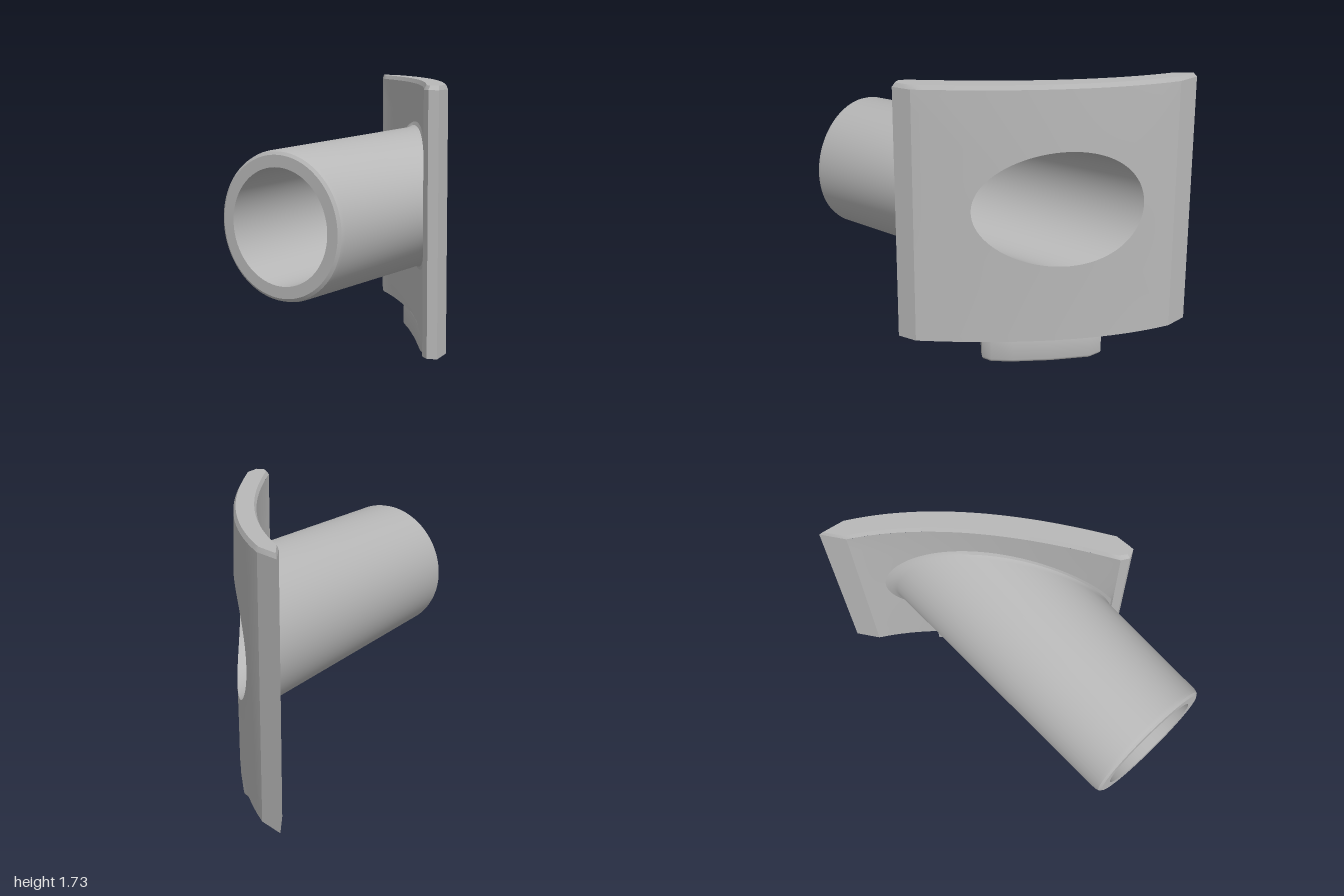
import * as THREE from 'three';
import { toCreasedNormals } from 'three/addons/utils/BufferGeometryUtils.js';

const N = 96;                       // divisions around the tube, divisible by 8
const Y0 = 0.145, Y1 = 1.70, YTOP = 1.725;
const BACK = [-0.556, 0.67], FRONT = [-0.6, 0.6];

// curved plate surfaces: depth z as a function of x
const frontZ = x => -0.51 + 0.8375 * x + 0.354 * x * x;
const backZ = x => {
  const u = (x - 0.057) / 0.613;
  return -0.635 + 0.4895 * u + 0.1295 * u * u;
};

// plate narrows slightly towards the top
const taper = y => 1 - 0.02 * (y - Y0) / (YTOP - Y0);

// rows of points joined into a surface
function loft(rows) {
  const pos = [], idx = [], w = rows[0].length;
  rows.forEach(r => r.forEach(p => pos.push(p.x, p.y, p.z)));
  for (let i = 0; i < rows.length - 1; i++) {
    for (let j = 0; j < w - 1; j++) {
      const a = i * w + j, b = a + 1, d = a + w, c = d + 1;
      idx.push(a, b, d, b, c, d);
    }
  }
  const g = new THREE.BufferGeometry();
  g.setAttribute('position', new THREE.Float32BufferAttribute(pos, 3));
  g.setIndex(idx);
  return toCreasedNormals(g, 0.6);
}

const ring = fn => Array.from({ length: N + 1 }, (_, j) => fn((j % N) / N * Math.PI * 2));

// point on the slanted tube, s measured backwards from the open end
const AX = new THREE.Vector3(0.137, 0, 0.9906);
function tubePoint(phi, s, r) {
  const c = Math.cos(phi) * r;
  return new THREE.Vector3(0.265 - AX.x * s + AX.z * c, 0.985 + Math.sin(phi) * r, 0.935 - AX.z * s - AX.x * c);
}
const outerR = s => 0.415 + 0.018 * s;
const boreR = s => 0.325 + 0.018 * s;

// distance at which a tube line reaches a plate surface
function hit(phi, radius, surface) {
  let lo = 0, hi = 2.6;
  for (let k = 0; k < 40; k++) {
    const m = (lo + hi) / 2, p = tubePoint(phi, m, radius(m));
    if (p.z > surface(p.x)) lo = m; else hi = m;
  }
  return lo;
}

// plate face around a hole, rows running from the hole to the border
function faceRows(hole, surface, [x0, x1]) {
  const rows = [], M = 14;
  for (let k = 0; k <= M; k++) {
    const t = k / M;
    rows.push(hole.map((h, j) => {
      const phi = j / N * Math.PI * 2, c = Math.cos(phi), s = Math.sin(phi);
      const q = 1 / Math.max(Math.abs(c), Math.abs(s));
      const ex = (x0 + x1) / 2 + c * q * (x1 - x0) / 2;
      const ey = (Y0 + Y1) / 2 + s * q * (Y1 - Y0) / 2;
      const x = h.x + (ex - h.x) * t, y = h.y + (ey - h.y) * t;
      const f = 1 + (taper(y) - 1) * t;
      return new THREE.Vector3(x * f, y, surface(x) * f);
    }));
  }
  return rows;
}

export function createModel() {
  const group = new THREE.Group();
  const grey = new THREE.MeshStandardMaterial({ color: 0xb8b8b8 });
  grey.name = 'grey';
  const add = (name, geometry) => {
    const m = new THREE.Mesh(geometry, grey);
    m.name = name;
    group.add(m);
  };

  // tube: fillet at the plate, outer wall, rounded rim, bore
  const flare = ring(phi => {
    const s = hit(phi, v => outerR(v) + 0.03, frontZ);
    const p = tubePoint(phi, s, outerR(s) + 0.03);
    p.x = Math.min(p.x, 0.59);
    p.z = frontZ(p.x);
    return p;
  });
  const fillet = (ds, dr) => ring(phi => {
    const s = hit(phi, outerR, frontZ) - ds;
    return tubePoint(phi, s, outerR(s) + dr);
  });
  const rim = (s, r) => ring(phi => tubePoint(phi, s, r));
  const boreEnd = ring(phi => {
    const s = hit(phi, boreR, backZ);
    return tubePoint(phi, s, boreR(s));
  });
  add('tube', loft([
    flare, fillet(0.015, 0.009), fillet(0.05, 0),
    rim(0.035, 0.416), rim(0.012, 0.409), rim(0, 0.392), rim(0, 0.325), boreEnd,
  ]));

  // plate faces
  add('plateFront', loft(faceRows(flare, frontZ, FRONT).reverse()));
  add('plateBack', loft(faceRows(boreEnd, backZ, BACK)));

  // plate outline seen from above
  const S = 28;
  const along = ([a, b], f) => Array.from({ length: S + 1 }, (_, i) => {
    const x = a + (b - a) * i / S;
    return [x, f(x)];
  });
  const frontLine = along(FRONT, frontZ);
  const backLine = along(BACK, backZ).reverse();
  const rightEnd = [[0.65, 0.14], [0.70, 0.106]];
  const leftEnd = [[-0.71, -1.0]];
  const outline = [...frontLine, ...rightEnd, ...backLine, ...leftEnd];
  const level = (pts, y) => pts.map(([x, z]) => new THREE.Vector3(x * taper(y), y, z * taper(y)));

  // side edges
  const edges = [
    ['rightSideEdge', [frontLine[S], ...rightEnd, backLine[0]]],
    ['leftSideEdge', [backLine[S], ...leftEnd, frontLine[0]]],
  ];
  edges.forEach(([name, pts]) => add(name, loft([level(pts, Y0), level(pts, Y1)])));

  // bevelled top edge, drawn in towards the middle line of the plate
  const inset = outline.map(([x, z]) => {
    const mx = THREE.MathUtils.clamp(x, -0.58, 0.62);
    const mid = (frontZ(mx) + backZ(mx)) / 2;
    return [x + (mx - x) * 0.15, z + (mid - z) * 0.2];
  });
  const close = pts => [...pts, pts[0]];
  add('topBevel', loft([level(close(outline), Y1), level(close(inset), YTOP)]));

  // top and bottom caps
  const shapeOf = (pts, k, sign) =>
    new THREE.Shape(pts.map(([x, z]) => new THREE.Vector2(x * k, sign * z * k)));
  add('topCap', new THREE.ShapeGeometry(shapeOf(inset, taper(YTOP), -1))
    .rotateX(-Math.PI / 2).translate(0, YTOP, 0));
  add('bottomCap', new THREE.ShapeGeometry(shapeOf(outline, 1, 1))
    .rotateX(Math.PI / 2).translate(0, Y0, 0));

  // locating tab below the plate
  const tab = [
    [-0.235, -0.69], [-0.12, -0.607], [0.05, -0.467], [0.25, -0.283], [0.33, -0.23],
    [0.37, -0.28], [0.36, -0.345], [0.27, -0.446], [0.1, -0.597], [-0.1, -0.742], [-0.19, -0.755],
  ];
  const tabGeo = new THREE.ExtrudeGeometry(shapeOf(tab, 1, -1), {
    depth: 0.13, bevelThickness: 0.02, bevelSize: 0.02, bevelOffset: -0.02, bevelSegments: 3,
  });
  tabGeo.rotateX(-Math.PI / 2).translate(0, 0.02, 0);
  add('tab', toCreasedNormals(tabGeo, 0.6));

  return group;
}
